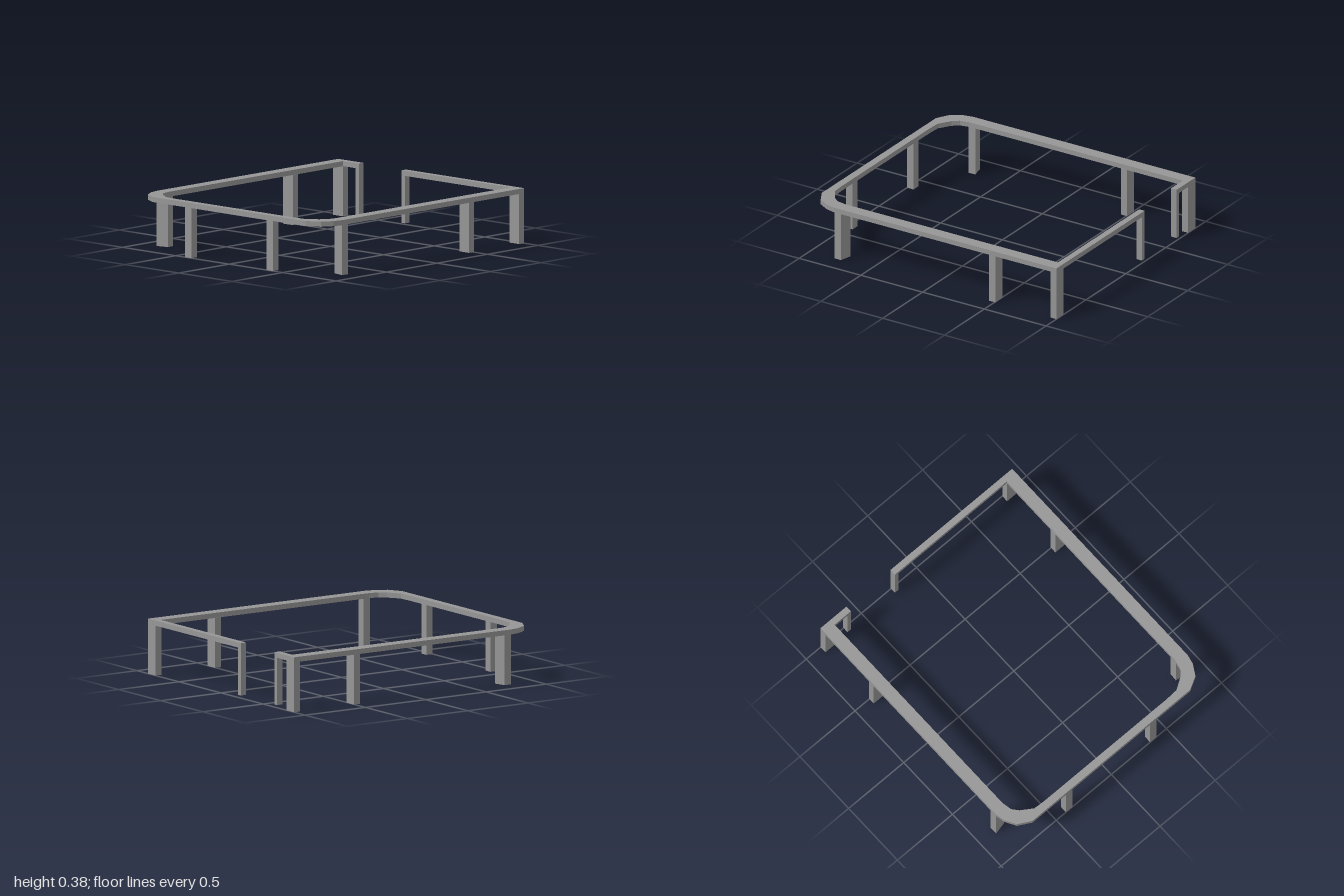
import * as THREE from 'three';

const TOP = 0.38, UNDER = 0.345;

export function createModel() {
  const group = new THREE.Group();
  const grey = new THREE.MeshStandardMaterial({ color: 0x969696 });
  grey.name = 'grey';

  // Extrudes a plan outline of [x, z] points between two heights
  function prism(name, points, y0, y1) {
    const shape = new THREE.Shape(points.map(([x, z]) => new THREE.Vector2(x, z)));
    const geo = new THREE.ExtrudeGeometry(shape, { depth: y1 - y0, bevelEnabled: false });
    geo.rotateX(Math.PI / 2).translate(0, y1, 0);
    const mesh = new THREE.Mesh(geo, grey);
    mesh.name = name;
    group.add(mesh);
  }
  const rect = (x0, x1, z0, z1) => [[x0, z0], [x1, z0], [x1, z1], [x0, z1]];
  const mirror = (pts) => pts.map(([x, z]) => [-x, z]).reverse();

  // Top rail: one loop with rounded front corners and a gap at the back
  const outer = [[0.87, -1], [0.87, 0.8], [0.855, 0.87], [0.81, 0.948], [0.715, 1]];
  const inner = [[0.55, 0.945], [0.645, 0.94], [0.73, 0.885], [0.768, 0.84], [0.782, 0.77], [0.782, -0.955]];
  prism('topRail', [
    [-0.235, -1], ...outer, ...mirror(outer), [-0.635, -1],
    [-0.635, -0.955], ...mirror(inner), ...mirror(mirror(inner)).slice(), [-0.235, -0.955],
  ], UNDER, TOP);

  // Mirrored legs
  const legs = {
    frontLeg: rect(0.352, 0.412, 0.947, 1),
    cornerLeg: [[0.868, 0.8], [0.87, 0.745], [0.783, 0.725], [0.78, 0.78]],
    sideLeg: rect(0.78, 0.87, -0.505, -0.455),
    backLeg: rect(0.78, 0.87, -1, -0.95),
  };
  for (const [name, pts] of Object.entries(legs)) {
    prism(name + 'Left', pts, 0, UNDER);
    prism(name + 'Right', mirror(pts), 0, UNDER);
  }

  // Thin posts on either side of the back opening
  prism('openingPostRight', rect(-0.665, -0.635, -1, -0.955), 0.018, UNDER);
  prism('openingPostLeft', rect(-0.235, -0.203, -1, -0.955), 0.018, UNDER);
  return group;
}
